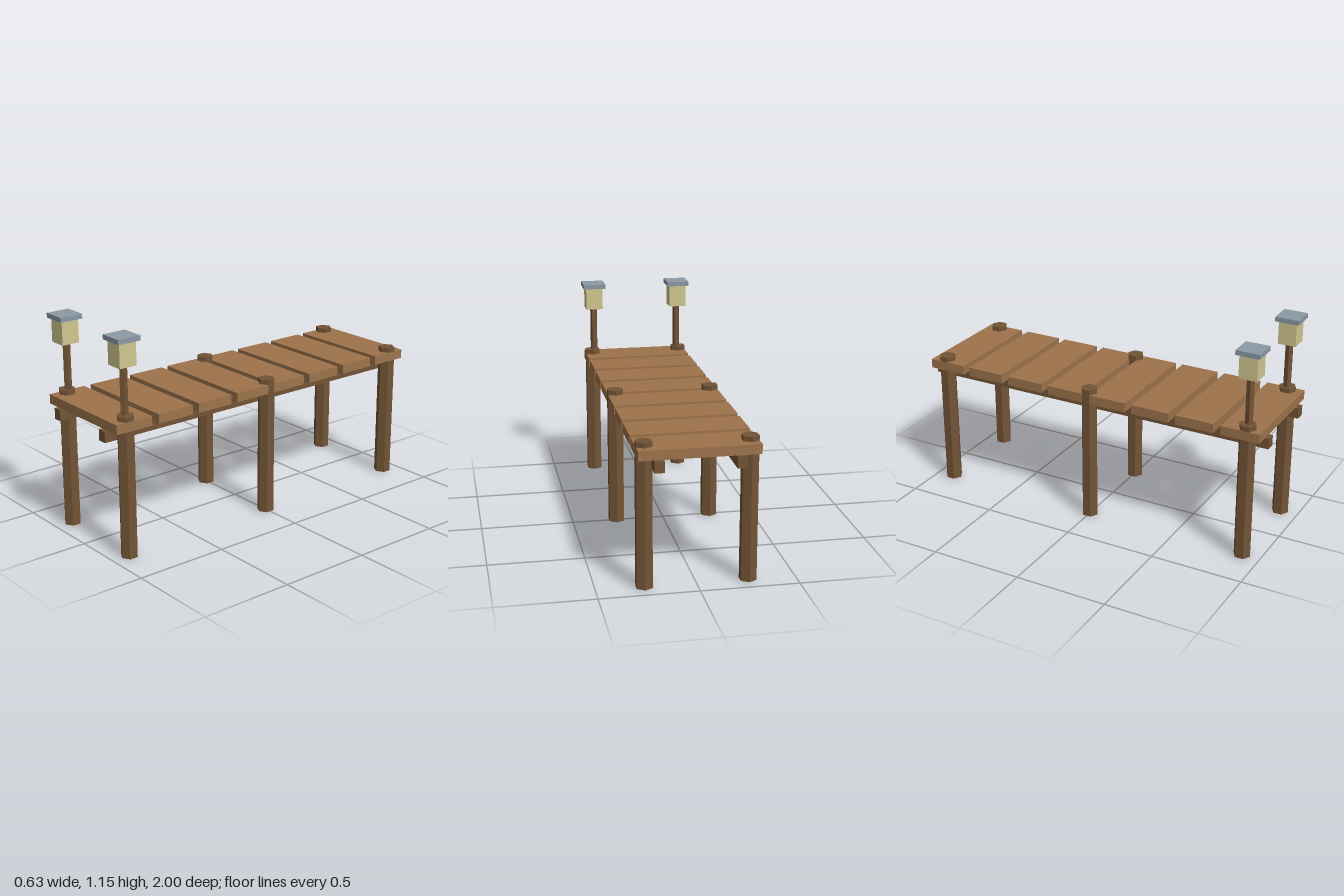
import * as THREE from 'three';

const flat = (name, color) => {
  const m = new THREE.MeshStandardMaterial({ color });
  m.name = name;
  return m;
};

export function createModel() {
  const pier = new THREE.Group();
  pier.name = 'pier';

  const plankWood = flat('plankWood', 0x9e744c);
  const darkWood = flat('darkWood', 0x735436);
  const lampGlow = flat('lampGlow', 0xd2c890);
  const roofSlate = flat('roofSlate', 0x8c9aa5);

  const add = (name, geometry, material, x, y, z) => {
    const mesh = new THREE.Mesh(geometry, material);
    mesh.name = name;
    mesh.position.set(x, y, z);
    pier.add(mesh);
  };
  // Faceted prism with hard edges
  const prism = (radius, height, sides) => {
    const g = new THREE.CylinderGeometry(radius, radius, height, sides).toNonIndexed();
    g.computeVertexNormals();
    return g;
  };

  // Deck planks, evenly spaced with gaps
  const plank = new THREE.BoxGeometry(0.6, 0.05, 0.21);
  for (let i = 0; i < 8; i++) add('plank', plank, plankWood, 0, 0.7, -0.875 + i * 0.25);

  const joist = new THREE.BoxGeometry(0.05, 0.058, 2);
  const post = prism(0.0457, 0.75, 6);
  const lampPole = prism(0.0208, 0.27, 5);
  const lamp = new THREE.BoxGeometry(0.097, 0.125, 0.097);
  const lampRoof = new THREE.BoxGeometry(0.128, 0.025, 0.128);

  for (const [side, s] of [['left', 1], ['right', -1]]) {
    // Long beam under the deck
    add(side + 'Joist', joist, darkWood, 0.2 * s, 0.646, 0);
    // Hexagonal posts rising through the deck
    for (const z of [-0.9, 0, 0.9]) add(side + 'Post', post, darkWood, 0.26 * s, 0.375, z);
    // Lantern on the front post
    add(side + 'LampPole', lampPole, darkWood, 0.25 * s, 0.87, 0.9);
    add(side + 'Lamp', lamp, lampGlow, 0.25 * s, 1.0625, 0.902);
    add(side + 'LampRoof', lampRoof, roofSlate, 0.25 * s, 1.1375, 0.902);
  }
  return pier;
}
